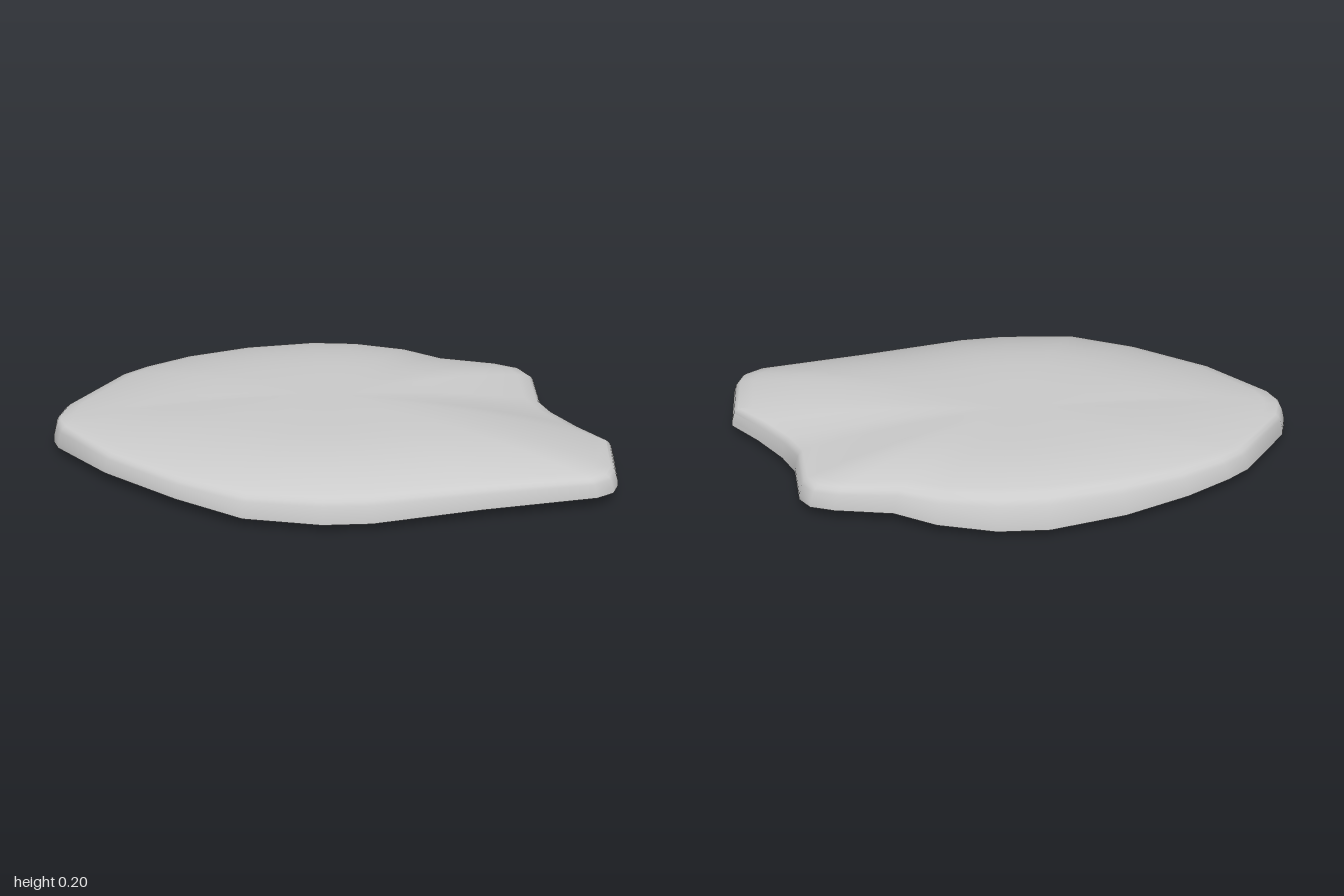
import * as THREE from 'three';
import { toCreasedNormals } from 'three/addons/utils/BufferGeometryUtils.js';

// Plan outline of the slab (x, z): left tip, back, notched right end, front
const OUTLINE = [
  [-1, -0.07], [-0.975, -0.14], [-0.79, -0.35], [-0.71, -0.4], [-0.55, -0.47],
  [-0.32, -0.53], [-0.05, -0.56], [0.13, -0.545], [0.33, -0.49], [0.47, -0.415],
  [0.67, -0.37], [0.75, -0.335], [0.785, -0.28], [0.79, -0.1], [0.83, -0.01],
  [0.91, 0.1], [1, 0.2], [0.985, 0.38], [0.96, 0.43], [0.9, 0.46], [0.5, 0.505],
  [0.12, 0.555], [-0.05, 0.555], [-0.32, 0.515], [-0.55, 0.4], [-0.8, 0.22],
  [-0.98, 0.02], [-1, -0.03],
];
const CENTRE = [0, -0.05];

// One cross-section from the underside centre, round the rim, to the crown
function section([px, pz]) {
  const dx = px - CENTRE[0], dz = pz - CENTRE[1];
  const r = Math.hypot(dx, dz);
  const angle = Math.atan2(dz / 0.56, dx);
  const back = Math.max(0, -Math.sin(angle)) ** 2;
  const low = 0.038 + 0.022 * Math.sin(2 * angle) ** 2; // rim dips mid-side
  const shoulder = 0.129 + 0.034 * back;
  const inset = 0.032 + 0.022 * back;
  const power = 1.6 + 2 * Math.abs(Math.sin(angle));
  const at = (s, y) => [CENTRE[0] + dx * s, y, CENTRE[1] + dz * s];

  const points = [];
  // shallow dished underside
  for (const s of [0, 0.13, 0.4, 0.7, 1]) points.push(at(s, low * Math.max(0, (s - 0.13) / 0.87)));
  // rim wall, leaning inwards and rounding over
  for (const [d, t] of [[0.06, 0.25], [0.4, 0.72], [0.62, 0.88], [1, 1]]) {
    points.push(at(1 - (d * inset) / r, low + (shoulder - low) * t));
  }
  // domed top with a small flat crown
  const edge = 1 - inset / r;
  for (const f of [0.95, 0.88, 0.78, 0.65, 0.5, 0.32, 0.13, 0]) {
    const rise = f <= 0.13 ? 1 : 1 - ((f - 0.13) / 0.87) ** power;
    points.push(at(edge * f, shoulder + (0.198 - shoulder) * rise));
  }
  return points;
}

function slabGeometry() {
  const sections = OUTLINE.map(section);
  const n = sections.length, rows = sections[0].length;
  const index = [];
  for (let i = 0; i < n; i++) {
    const j = (i + 1) % n;
    for (let k = 0; k < rows - 1; k++) {
      const a = i * rows + k, b = j * rows + k;
      if (k < rows - 2) index.push(a, a + 1, b + 1);
      else index.push(a, a + 1, b);
      if (k > 0 && k < rows - 2) index.push(a, b + 1, b);
    }
  }
  const geometry = new THREE.BufferGeometry();
  geometry.setAttribute('position', new THREE.Float32BufferAttribute(sections.flat(2), 3));
  geometry.setIndex(index);
  return toCreasedNormals(geometry, 0.8);
}

export function createModel() {
  const group = new THREE.Group();
  group.name = 'flatStone';
  const stone = new THREE.Mesh(slabGeometry(), new THREE.MeshStandardMaterial({ color: 0xcccccc }));
  stone.name = 'stoneSlab';
  group.add(stone);
  return group;
}
